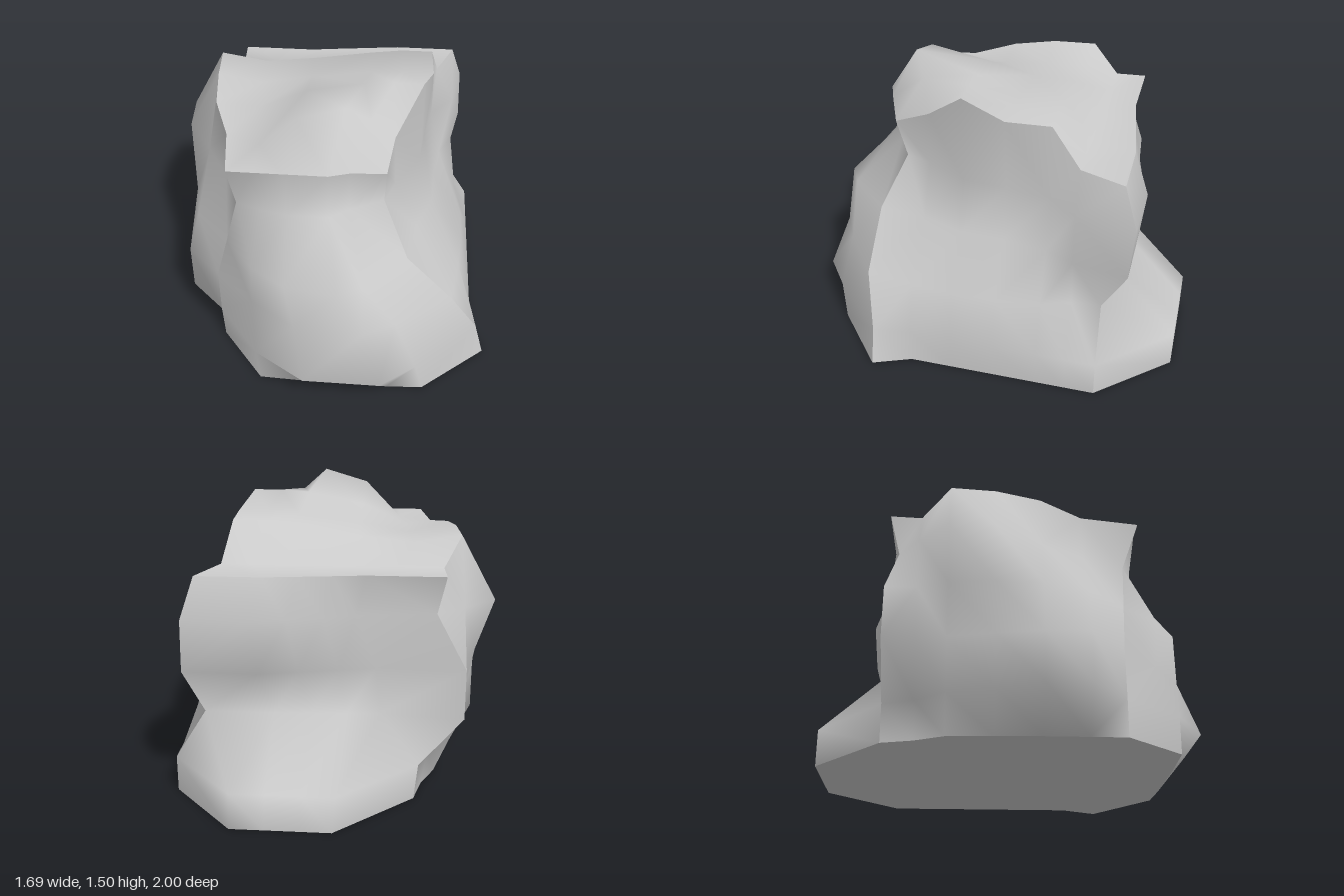
import * as THREE from 'three';

// Heights of the six outlines that the walls run through
const LEVELS = [0, 0.19, 0.45, 0.71, 0.98, 1.2];

// Upright corner edges as [x, z] per level
const FRONT_LEFT = [[-0.59, 0.53], [-0.6, 0.53], [-0.6, 0.53], [-0.53, 0.55], [-0.46, 0.57], [-0.48, 0.66]];
const FRONT_RIGHT = [[0.84, 0.545], [0.79, 0.545], [0.64, 0.61], [0.4, 0.61], [0.27, 0.49], [0.28, 0.54]];
const BACK_RIGHT = [[0.76, -0.64], [0.76, -0.64], [0.6, -0.63], [0.68, -0.76], [0.67, -0.78], [0.61, -0.71]];
const BACK_LEFT = [[-0.46, -0.64], [-0.48, -0.64], [-0.7, -0.64], [-0.7, -0.64], [-0.55, -0.59], [-0.59, -0.64]];

// Front wall: depth per level at these fractions of its width
const FRONT_STEPS = [0.17, 0.36, 0.64, 0.77];
const FRONT_Z = [
  [0.83, 0.84, 0.84, 0.83],
  [0.83, 1, 1, 0.86],
  [0.72, 0.88, 0.91, 0.82],
  [0.75, 0.87, 0.91, 0.84],
  [0.62, 0.65, 0.65, 0.58],
  [0.66, 0.66, 0.66, 0.62],
];
// Back wall: depth per level, running from the first value to the second
const BACK_STEPS = [0.27, 0.41, 0.55, 0.68];
const BACK_Z = [[-1, -1], [-1, -1], [-0.63, -0.6], [-0.76, -0.64], [-0.79, -0.64], [-0.71, -0.64]];

// Side walls: x per level at these depths, front to back
const SIDE_Z = [0.35, 0.13, -0.1, -0.33, -0.48];
const RIGHT_X = [
  Array(5).fill(0.76),
  Array(5).fill(0.76),
  [0.68, 0.7, 0.7, 0.67, 0.61],
  [0.44, 0.52, 0.53, 0.56, 0.63],
  [0.32, 0.44, 0.46, 0.5, 0.62],
  [0.31, 0.44, 0.49, 0.48, 0.52],
];
const LEFT_X = [
  [-0.59, -0.59, -0.58, -0.57, -0.5],
  [-0.79, -0.79, -0.72, -0.65, -0.53],
  [-0.79, -0.79, -0.75, -0.7, -0.69],
  [-0.72, -0.77, -0.78, -0.76, -0.7],
  [-0.55, -0.68, -0.83, -0.85, -0.69],
  [-0.53, -0.62, -0.65, -0.67, -0.58],
];

// Crown heights, left to right, from the front row to the back row
const CROWN_STEPS = [0.21, 0.44, 0.72, 0.86];
const CROWN_Y = [
  [1.235, 1.235, 1.235, 1.235, 1.23, 1.18],
  [1.235, 1.24, 1.43, 1.5, 1.4, 1.26],
  [1.28, 1.26, 1.37, 1.43, 1.44, 1.44],
  [1.31, 1.27, 1.32, 1.36, 1.37, 1.37],
  [1.31, 1.27, 1.3, 1.35, 1.37, 1.37],
  Array(6).fill(1.18),
  Array(6).fill(1.18),
];

const lerp = THREE.MathUtils.lerp;

// One closed outline, starting at the front left corner and running past the right side
function makeRing(y, k) {
  const point = (x, z) => new THREE.Vector3(x, y, z);
  const front = FRONT_STEPS.map((t, i) => point(lerp(FRONT_LEFT[k][0], FRONT_RIGHT[k][0], t), FRONT_Z[k][i]));
  const back = BACK_STEPS.map((t, i) => point(lerp(BACK_RIGHT[k][0], BACK_LEFT[k][0], t), lerp(...BACK_Z[k], i / 3)));
  const right = SIDE_Z.map((z, i) => point(RIGHT_X[k][i], z));
  const left = SIDE_Z.map((z, i) => point(LEFT_X[k][i], z)).reverse();
  return [
    point(...FRONT_LEFT[k]), ...front,
    point(...FRONT_RIGHT[k]), ...right,
    point(...BACK_RIGHT[k]), ...back,
    point(...BACK_LEFT[k]), ...left,
  ];
}

// Rows spanning the rim; the crest in the second row leans forward
function makeCrown(rim) {
  return CROWN_Y.map((heights, r) => {
    let points;
    if (r === 0) points = rim.slice(0, 6);
    else if (r === CROWN_Y.length - 1) points = rim.slice(11, 17).reverse();
    else {
      const left = rim[22 - r], right = rim[5 + r];
      const inner = CROWN_STEPS.map((u) => left.clone().lerp(right, u));
      if (r === 1) [0.08, 0.13, 0.13, 0.06].forEach((lean, i) => { inner[i].z += lean; });
      points = [left, ...inner, right];
    }
    points.forEach((p, c) => { p.y = heights[c]; });
    return points;
  });
}

// Smooth patch through rows of points, each quad split along its shorter diagonal
function patch(rows) {
  const width = rows[0].length;
  const index = [];
  for (let r = 0; r < rows.length - 1; r++) {
    for (let c = 0; c < width - 1; c++) {
      const a = r * width + c, b = a + 1, d = a + width, e = d + 1;
      if (rows[r][c].distanceTo(rows[r + 1][c + 1]) < rows[r][c + 1].distanceTo(rows[r + 1][c])) {
        index.push(a, b, e, a, e, d);
      } else {
        index.push(a, b, d, b, e, d);
      }
    }
  }
  const geometry = new THREE.BufferGeometry().setFromPoints(rows.flat());
  geometry.setIndex(index);
  geometry.computeVertexNormals();
  return geometry;
}

export function createModel() {
  const group = new THREE.Group();
  group.name = 'boulder';
  const material = new THREE.MeshStandardMaterial({ color: 0xcccccc });
  const add = (name, geometry) => {
    const mesh = new THREE.Mesh(geometry, material);
    mesh.name = name;
    group.add(mesh);
  };

  const rings = LEVELS.map(makeRing);
  add('crown', patch(makeCrown(rings[rings.length - 1])));

  // Walls between the corner edges
  const walls = { frontWall: [0, 5], rightWall: [5, 11], backWall: [11, 16], leftWall: [16, 22] };
  for (const [name, [from, to]] of Object.entries(walls)) {
    add(name, patch(rings.map((ring) => [...ring, ring[0]].slice(from, to + 1))));
  }

  // Flat underside
  const outline = new THREE.Shape(rings[0].map((p) => new THREE.Vector2(p.x, p.z)));
  add('underside', new THREE.ShapeGeometry(outline).rotateX(Math.PI / 2));
  return group;
}
